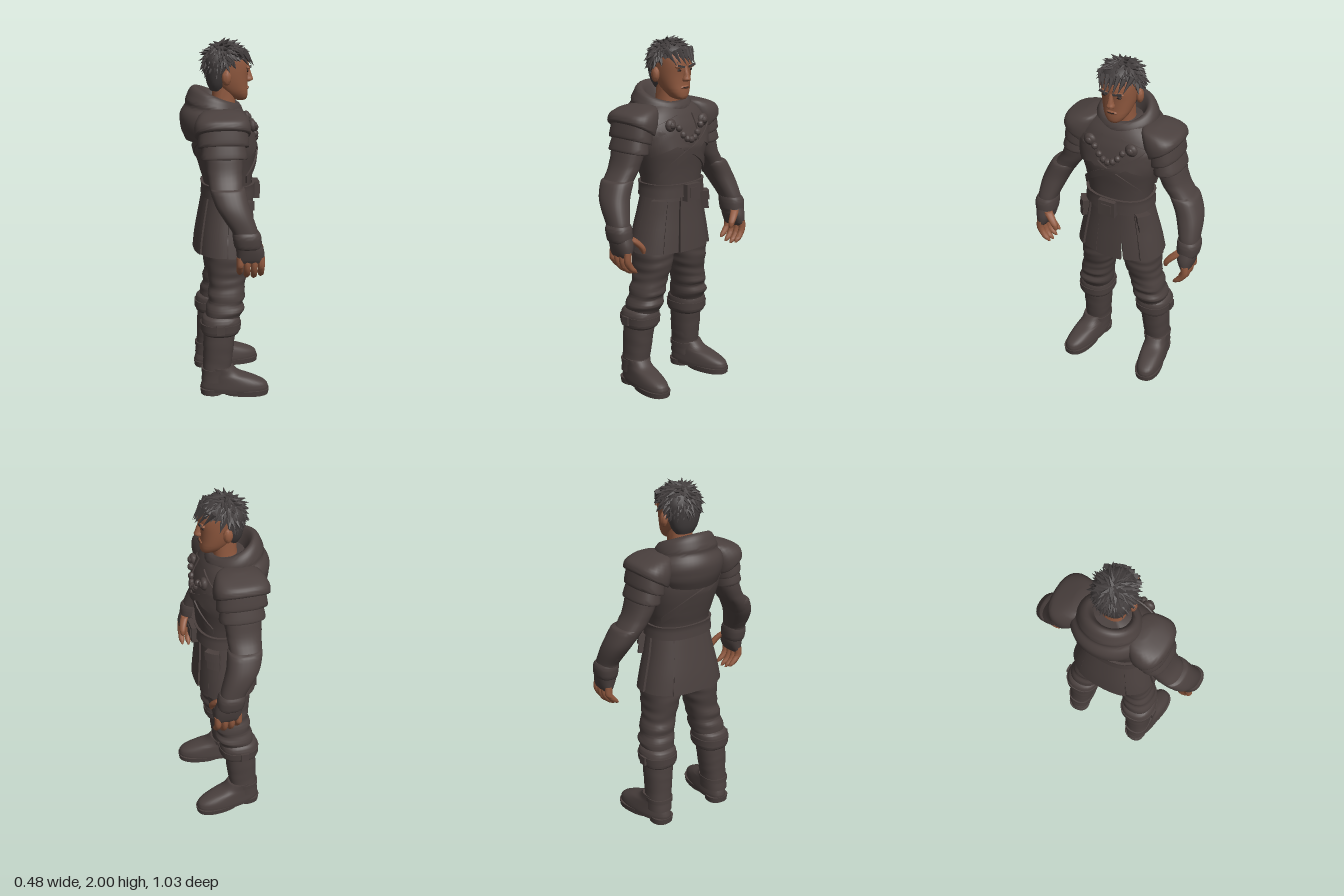
import * as THREE from 'three';
import { mergeGeometries, toCreasedNormals } from 'three/addons/utils/BufferGeometryUtils.js';

const mat = (name, color) => Object.assign(new THREE.MeshStandardMaterial({ color }), { name });
const TAU = Math.PI * 2;
const pw = (v, p) => Math.sign(v) * Math.abs(v) ** p;

// point on a ring [x, y, z, rx, rz, rise towards front, rise towards side]
function ringPoint(r, a, off = 0, p = 0.85, k = 1) {
  const c = pw(Math.cos(a), p), s = pw(Math.sin(a), p);
  return [r[0] + (r[3] * k + off) * c, r[1] + (r[5] || 0) * c + (r[6] || 0) * s, r[2] + (r[4] * k + off) * s];
}

// smooth spline through the rings
function refine(rings, sub) {
  const out = [], at = i => rings[Math.max(0, Math.min(rings.length - 1, i))];
  for (let i = 0; i < rings.length - 1; i++) for (let j = 0; j < sub; j++) {
    const t = j / sub;
    out.push([0, 1, 2, 3, 4, 5, 6].map(k => {
      const [a, b, c, d] = [-1, 0, 1, 2].map(o => at(i + o)[k] || 0);
      return b + 0.5 * t * (c - a + t * (2 * a - 5 * b + 4 * c - d + t * (3 * (b - c) + d - a)));
    }));
  }
  return [...out, at(rings.length)];
}

// skin over a stack of rings, with closed ends
function loft(rings, { n = 28, sub = 4, cap = true, wrinkle = 0, p = 0.85 } = {}) {
  let rs = refine(rings, sub);
  if (rs[0][1] > rs[rs.length - 1][1]) rs = rs.reverse();
  const pos = [], idx = [], m = rs.length;
  rs.forEach(r => {
    for (let j = 0; j < n; j++) {
      const a = j / n * TAU;
      const k = 1 + wrinkle * Math.sin(r[1] * 95 + 2.2 * Math.sin(a + r[1] * 9)) * (0.6 + 0.4 * Math.sin(2 * a + r[1] * 25));
      pos.push(...ringPoint(r, a, 0, p, k));
    }
  });
  for (let i = 0; i < m - 1; i++) for (let j = 0; j < n; j++) {
    const a = i * n + j, b = i * n + (j + 1) % n;
    idx.push(a, a + n, b, b, a + n, b + n);
  }
  if (cap) {
    pos.push(...rs[0].slice(0, 3), ...rs[m - 1].slice(0, 3));
    for (let j = 0; j < n; j++) {
      const k = (j + 1) % n, t = (m - 1) * n;
      idx.push(m * n, j, k, m * n + 1, t + k, t + j);
    }
  }
  const g = new THREE.BufferGeometry();
  g.setAttribute('position', new THREE.Float32BufferAttribute(pos, 3));
  g.setIndex(idx);
  return g;
}

// ring of a body at a given height
function ringAt(rings, y) {
  let i = 0;
  while (i < rings.length - 2 && rings[i + 1][1] < y) i++;
  const t = (y - rings[i][1]) / (rings[i + 1][1] - rings[i][1]);
  return rings[i].map((v, k) => v + (rings[i + 1][k] - v) * t);
}

// band of thick cloth laid on a body from angle a, height ya to angle b, height yb
function wrap(rings, a, ya, b, yb, height, off, thick) {
  if (a < b) [a, ya, b, yb] = [b, yb, a, ya];
  const g = new THREE.BoxGeometry(1, 1, 1, 32, 5, 1), q = g.attributes.position;
  for (let i = 0; i < q.count; i++) {
    const u = q.getX(i) + 0.5, y = ya + (yb - ya) * u + q.getY(i) * height;
    q.setXYZ(i, ...ringPoint(ringAt(rings, y), a + (b - a) * u, off + (q.getZ(i) + 0.5) * thick));
  }
  return g;
}

const ball = (x, y, z, rx, ry, rz) => new THREE.SphereGeometry(1, 18, 12).scale(rx, ry, rz).translate(x, y, z);
const box = (x, y, z, w, h, d, tilt = 0) => new THREE.BoxGeometry(w, h, d).rotateX(tilt).translate(x, y, z);

function mirrorZ(g) {
  const out = g.clone().scale(1, 1, -1);
  for (const { array: a } of Object.values(out.attributes).filter(t => t.itemSize === 3))
    for (let i = 0; i < a.length; i += 9) for (let k = 0; k < 3; k++) [a[i + k], a[i + 6 + k]] = [a[i + 6 + k], a[i + k]];
  return out;
}

export function createModel() {
  const root = new THREE.Group();
  root.name = 'hoodedAdventurer';
  const cloth = mat('dark cloth', 0x4a403e), skin = mat('skin', 0x90593f);
  const hair = mat('hair', 0x423d3d), dark = mat('dark features', 0x2a2221);
  const add = (name, geo, m = cloth, crease = 0.8) => {
    const g = toCreasedNormals(geo, crease);
    const mesh = new THREE.Mesh(g, m);
    mesh.name = name;
    root.add(mesh);
    return g;
  };
  const pair = (name, geo, m = cloth, crease = 0.8) => {
    const g = add(name + 'Left', geo, m, crease);
    const mesh = new THREE.Mesh(mirrorZ(g), m);
    mesh.name = name + 'Right';
    root.add(mesh);
  };

  // torso and skirt
  const torso = [[.03, 1.1, 0, .135, .185], [.03, 1.18, 0, .132, .178], [.02, 1.28, 0, .15, .198], [.012, 1.4, 0, .172, .23],
    [0, 1.5, 0, .162, .245], [-.01, 1.58, 0, .135, .215], [-.02, 1.64, 0, .1, .13]];
  const skirt = [[.01, .78, 0, .172, .258], [.012, .9, 0, .162, .235], [.018, 1.02, 0, .146, .205], [.03, 1.17, 0, .13, .176]];
  add('torso', loft(torso, { n: 48, wrinkle: 0.006 }));
  add('skirtLining', loft(skirt.map(r => [r[0], Math.max(r[1], .87), 0, r[3] - .016, r[4] - .016]).slice(1), { n: 48 }));
  const cuts = [-.27, .27, .72, 1.6, 2.55, 3.73, 4.68, 5.56, 6.01];
  for (let i = 0; i < cuts.length - 1; i++)
    add('skirtPanel' + i, wrap(skirt, cuts[i] + .018, .985, cuts[i + 1] - .018, .985, .35, -.008 - (i % 2) * .008, .016));

  // belt, buckle, pouches
  add('belt', wrap(torso, 0, 1.16, TAU, 1.16, .075, .002, .014));
  add('buckle', box(.185, 1.147, 0, .04, .095, .1));
  add('buckleCentre', box(.206, 1.147, 0, .008, .055, .06));
  pair('pouch', wrap(skirt, .8, 1.06, 1.22, 1.06, .1, 0, .035));
  pair('pouchFlap', wrap(skirt, .77, 1.09, 1.25, 1.09, .05, .004, .04));

  // chest straps, clasps and toggles
  add('strapFront', wrap(torso, -1.05, 1.53, 1.0, 1.24, .042, .004, .01));
  add('strapFrontCross', wrap(torso, -1.0, 1.24, 1.05, 1.53, .042, .002, .008));
  add('strapBack', wrap(torso, 2.1, 1.53, 4.2, 1.24, .042, .002, .01));
  pair('mantleEdge', wrap(torso, .2, 1.5, 1.2, 1.43, .15, .002, .008));
  pair('clasp', ball(.15, 1.53, .125, .022, .036, .036));
  pair('claspBoss', ball(.168, 1.53, .125, .012, .02, .02));
  for (let i = -3; i <= 3; i++)
    add('toggle' + (i + 3), ball(.185 - Math.abs(i) * .004, 1.44 + i * i * .008, i * .028, .018, .02, .018));

  // hood lying on the shoulders
  const hood = add('hood', loft([[-.05, 1.46, 0, .155, .19, .02], [-.055, 1.52, 0, .18, .21], [-.055, 1.58, 0, .176, .205, -.015],
    [-.05, 1.612, 0, .155, .178, -.025], [-.045, 1.635, 0, .157, .176, -.035], [-.04, 1.68, 0, .135, .152, -.045],
    [-.032, 1.68, 0, .105, .118, -.045], [-.01, 1.6, 0, .08, .09]], { n: 48, cap: false, p: 1, wrinkle: .012 }));
  hood.computeBoundingBox();

  // layered shoulder guards
  pair('shoulderGuardTop', loft([[-.025, 1.5, .25, .145, .088, 0, .05], [-.025, 1.515, .25, .152, .093, 0, .05],
    [-.025, 1.565, .232, .148, .095, 0, .03], [-.022, 1.615, .2, .115, .075, 0, 0], [-.02, 1.632, .18, .05, .035]], { p: .8 }));
  pair('shoulderGuardMiddle', loft([[-.022, 1.44, .262, .136, .078, 0, .025], [-.022, 1.455, .262, .139, .08, 0, .03], [-.02, 1.54, .245, .13, .08, 0, .03]]));
  pair('shoulderGuardLower', loft([[-.02, 1.378, .278, .122, .078, 0, .015], [-.02, 1.392, .278, .125, .08, 0, .015], [-.02, 1.47, .26, .11, .072, 0, .02]]));

  // sleeves, bracers, gloves
  pair('sleeve', loft([[-.02, 1.5, .25, .09, .075], [-.02, 1.4, .28, .1, .074], [-.02, 1.3, .315, .094, .07],
    [-.012, 1.2, .385, .085, .068], [.03, 1.1, .43, .075, .06], [.08, 1.0, .45, .06, .05]], { wrinkle: .02 }));
  pair('bracer', loft([[-.012, 1.245, .368, .088, .07], [-.01, 1.23, .377, .094, .076], [.008, 1.16, .412, .09, .073],
    [.035, 1.1, .432, .082, .067], [.07, 1.03, .447, .07, .056], [.075, 1.0, .45, .066, .054]]));
  pair('gloveCuff', loft([[.078, 1.025, .448, .068, .058], [.082, 1.0, .452, .076, .064], [.088, .95, .452, .074, .06], [.09, .935, .452, .068, .052]]));
  pair('glove', loft([[.088, .97, .45, .07, .055], [.1, .92, .45, .075, .05], [.103, .875, .455, .073, .035], [.103, .855, .458, .068, .022]]));
  for (let i = 0; i < 4; i++) {
    const x = .046 + i * .038, d = [.02, .004, 0, .01][i];
    pair('finger' + i, loft([[x, .885, .46, .019, .022], [x, .84, .462, .019, .022], [x, .80 + d, .45, .018, .022],
      [x + .002, .77 + d, .425, .016, .022], [x + .003, .752 + d, .405, .006, .01]], { n: 12, p: 1 }));
    root.children.slice(-2).forEach(m => { m.material = skin; });
  }
  pair('thumb', loft([[.14, .955, .42, .022, .028], [.158, .925, .388, .021, .026], [.168, .89, .36, .018, .019], [.17, .862, .352, .008, .009]], { n: 12, p: 1 }), skin);

  // trousers and boots
  pair('trouserLeg', loft([[-.03, .38, .19, .085, .08], [-.018, .45, .183, .094, .088], [-.005, .5, .178, .108, .097], [0, .54, .17, .097, .09],
    [.005, .575, .165, .104, .094], [.01, .64, .15, .1, .092], [.015, .72, .137, .115, .1], [.015, .82, .128, .118, .112], [.015, .93, .115, .115, .1]], { wrinkle: .028, sub: 7 }));
  pair('bootCuff', loft([[-.033, .355, .19, .09, .082], [-.032, .37, .19, .106, .096], [-.03, .41, .19, .11, .1], [-.028, .45, .188, .106, .098], [-.025, .468, .186, .09, .085]], { wrinkle: .015 }));
  pair('bootStrap', loft([[-.031, .385, .19, .113, .102], [-.03, .425, .19, .115, .105]], { sub: 1 }));
  pair('bootBuckle', box(-.04, .405, .295, .045, .05, .014));
  pair('bootShaft', loft([[-.055, .08, .205, .086, .07], [-.053, .15, .203, .08, .07], [-.047, .22, .198, .083, .073], [-.042, .3, .195, .087, .078], [-.035, .38, .19, .09, .08]], { wrinkle: .015 }));
  const turn = g => g.rotateY(-.15).translate(.035, 0, .02);
  pair('bootFoot', turn(loft([[.04, .02, .2, .188, .072], [.04, .045, .2, .192, .074], [.036, .075, .2, .18, .071], [.008, .105, .2, .142, .067],
    [-.03, .13, .2, .102, .064], [-.05, .165, .2, .084, .066]], { n: 36 })));
  pair('bootSole', turn(loft([[.103, .004, .2, .13, .073], [.105, .035, .2, .132, .077]], { sub: 1 })));
  pair('bootHeel', turn(loft([[-.088, 0, .2, .062, .062], [-.09, .035, .2, .065, .066]], { sub: 1 })));
  pair('ankleStrap', loft([[-.055, .13, .203, .086, .074], [-.054, .155, .203, .087, .075]], { sub: 1 }));

  // head and face
  add('neck', loft([[-.005, 1.56, 0, .075, .08], [.005, 1.64, 0, .066, .068], [.012, 1.74, 0, .066, .066]]), skin);
  add('head', loft([[.1, 1.655, 0, .028, .026], [.085, 1.668, 0, .052, .046], [.068, 1.7, 0, .072, .068], [.05, 1.74, 0, .088, .082],
    [.036, 1.79, 0, .104, .092], [.03, 1.845, 0, .116, .097], [.025, 1.89, 0, .112, .097], [.02, 1.93, 0, .092, .08], [.02, 1.955, 0, .04, .035]], { n: 36 }), skin);
  add('nose', loft([[.14, 1.755, 0, .012, .016], [.145, 1.765, 0, .026, .024], [.143, 1.785, 0, .022, .017], [.138, 1.815, 0, .017, .013], [.132, 1.845, 0, .012, .012]], { n: 16, p: 1 }), skin);
  add('lips', ball(.132, 1.722, 0, .014, .012, .032), skin);
  add('mouthLine', box(.144, 1.723, 0, .006, .004, .04), dark);
  pair('ear', ball(.012, 1.79, .104, .026, .042, .02), skin);
  pair('browRidge', ball(.134, 1.838, .04, .014, .012, .034), skin);
  pair('eye', ball(.133, 1.818, .04, .007, .008, .017), dark);
  pair('eyebrow', box(.148, 1.84, .041, .008, .011, .05, -.25), hair);

  // hair mass and swept tufts
  add('hairCap', new THREE.SphereGeometry(1, 28, 10, 0, TAU, 0, 1.45).scale(.118, .098, .108).translate(.022, 1.873, 0), hair);
  add('hairBack', loft([[-.028, 1.71, 0, .04, .055], [-.03, 1.75, 0, .056, .078], [-.025, 1.81, 0, .072, .096], [-.02, 1.88, 0, .08, .106], [-.01, 1.93, 0, .07, .085]]), hair);
  let seed = 7;
  const rnd = () => (seed = seed * 16807 % 2147483647) / 2147483647;
  const tufts = [], up = new THREE.Vector3(0, 1, 0), N = 300;
  for (let i = 0; i < N; i++) {
    const y = 1 - 1.75 * (i + .5) / N, a = i * 2.39996, r = Math.sqrt(1 - y * y);
    const nrm = new THREE.Vector3(Math.cos(a) * r, y, Math.sin(a) * r);
    if (y < .3 && nrm.x > .3 || y < 0 && nrm.x > -.1 || y < -.25 && nrm.x > -.3) continue;
    const flow = new THREE.Vector3(nrm.x + .35, -r * 1.1 - .1, nrm.z).addScaledVector(nrm, .1);
    flow.addScaledVector(nrm, -flow.dot(nrm)).normalize();
    const dir = flow.multiplyScalar(.85).addScaledVector(nrm, .4 + rnd() * .3);
    dir.add(new THREE.Vector3(rnd() - .5, rnd() - .5, rnd() - .5).multiplyScalar(.5)).normalize();
    const len = .05 + rnd() * .03;
    const g = new THREE.ConeGeometry(.02, len, 5).translate(0, len * .28, 0);
    g.applyQuaternion(new THREE.Quaternion().setFromUnitVectors(up, dir));
    tufts.push(g.translate(.015 + nrm.x * .104, 1.862 + nrm.y * .1, nrm.z * .1));
  }
  // loose fringe over the forehead
  for (let i = -3; i <= 3; i++) tufts.push(new THREE.ConeGeometry(.017, .085 + (i & 1) * .02, 5).rotateZ(-2.55).rotateX(i * .1)
    .translate(.148 - i * i * .004, 1.885, i * .027));
  add('hairTufts', mergeGeometries(tufts), hair);
  return root;
}
